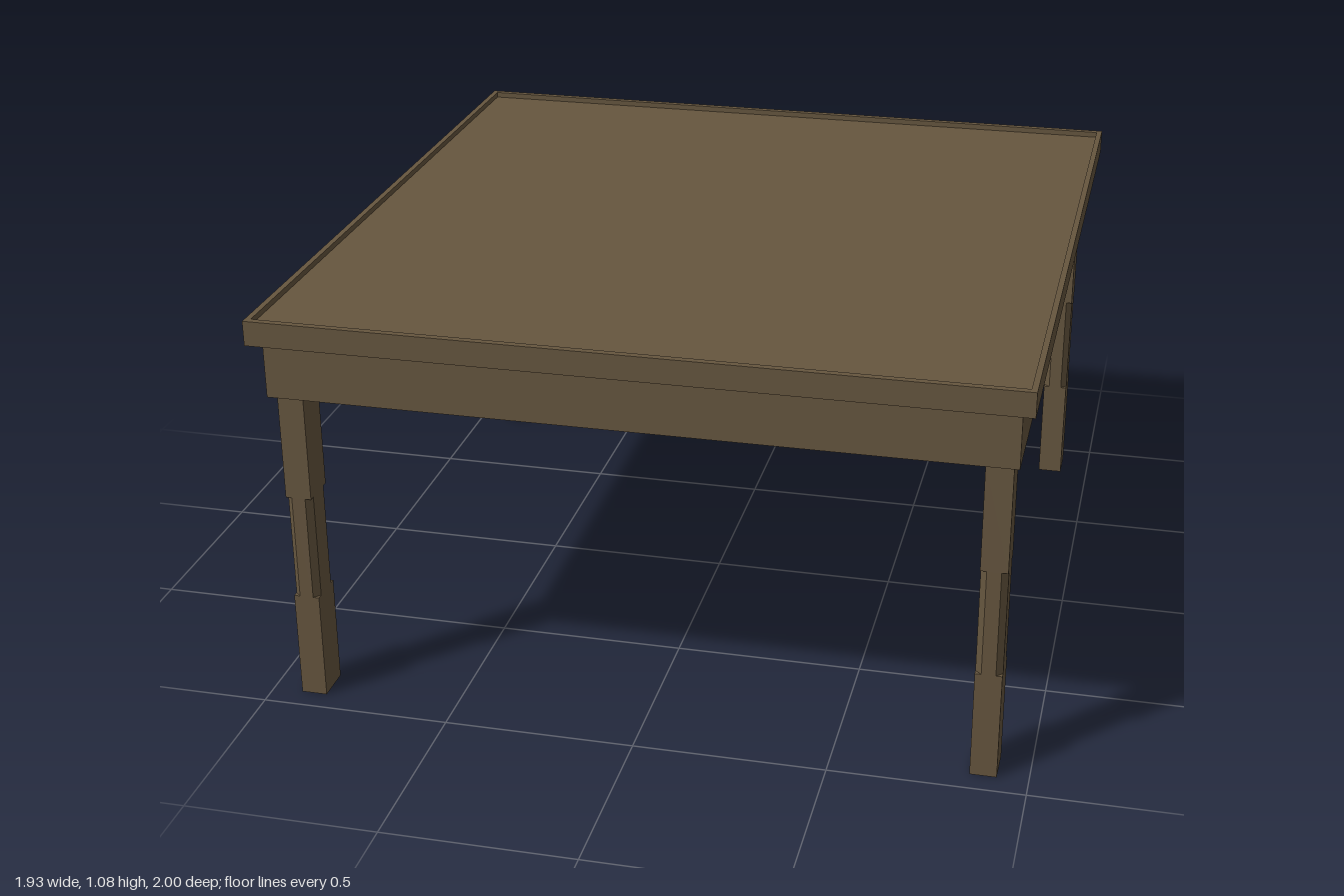
import * as THREE from 'three';

// Rectangle outline centred on the origin
function rect(path, hx, hz) {
  path.moveTo(-hx, -hz);
  path.lineTo(hx, -hz);
  path.lineTo(hx, hz);
  path.lineTo(-hx, hz);
  path.closePath();
  return path;
}

// Rectangle with its corners cut off
function chamferedRect(hx, hz, c) {
  const s = new THREE.Shape();
  s.moveTo(-hx + c, -hz);
  s.lineTo(hx - c, -hz);
  s.lineTo(hx, -hz + c);
  s.lineTo(hx, hz - c);
  s.lineTo(hx - c, hz);
  s.lineTo(-hx + c, hz);
  s.lineTo(-hx, hz - c);
  s.lineTo(-hx, -hz + c);
  s.closePath();
  return s;
}

// Extrude a plan shape upward from y0 to y1
function prism(shape, y0, y1) {
  const g = new THREE.ExtrudeGeometry(shape, { depth: y1 - y0, bevelEnabled: false });
  g.rotateX(-Math.PI / 2);
  g.translate(0, y0, 0);
  return g;
}

export function createModel() {
  const wood = new THREE.MeshStandardMaterial({ color: 0x66563f });
  wood.name = 'brown wood';

  const table = new THREE.Group();
  table.name = 'table';
  const add = (parent, name, geometry) => {
    const mesh = new THREE.Mesh(geometry, wood);
    mesh.name = name;
    parent.add(mesh);
  };
  const frame = (hx, hz, ix, iz) => {
    const s = rect(new THREE.Shape(), hx, hz);
    s.holes.push(rect(new THREE.Path(), ix, iz));
    return s;
  };

  // Top: a slab sunk slightly inside a thin raised rim
  add(table, 'topRim', prism(frame(0.967, 1, 0.952, 0.982), 1.015, 1.08));
  add(table, 'topPanel', prism(rect(new THREE.Shape(), 0.952, 0.982), 1.015, 1.065));

  // Apron: hollow frame under the top
  add(table, 'apron', prism(frame(0.935, 0.965, 0.85, 0.88), 0.865, 1.015));

  // Legs: square ends with a chamfered middle
  const hx = 0.034, hz = 0.05;
  const square = rect(new THREE.Shape(), hx, hz);
  const lower = prism(square, 0, 0.29);
  const middle = prism(chamferedRect(hx, hz, 0.016), 0.29, 0.575);
  const upper = prism(square, 0.575, 0.865);
  for (const [front, sz] of [['front', 1], ['back', -1]]) {
    for (const [side, sx] of [['Left', 1], ['Right', -1]]) {
      const leg = new THREE.Group();
      leg.name = `${front}${side}Leg`;
      add(leg, 'legFoot', lower);
      add(leg, 'legChamferedMiddle', middle);
      add(leg, 'legUpper', upper);
      leg.position.set(sx * 0.886, 0, sz * 0.888);
      table.add(leg);
    }
  }
  return table;
}
